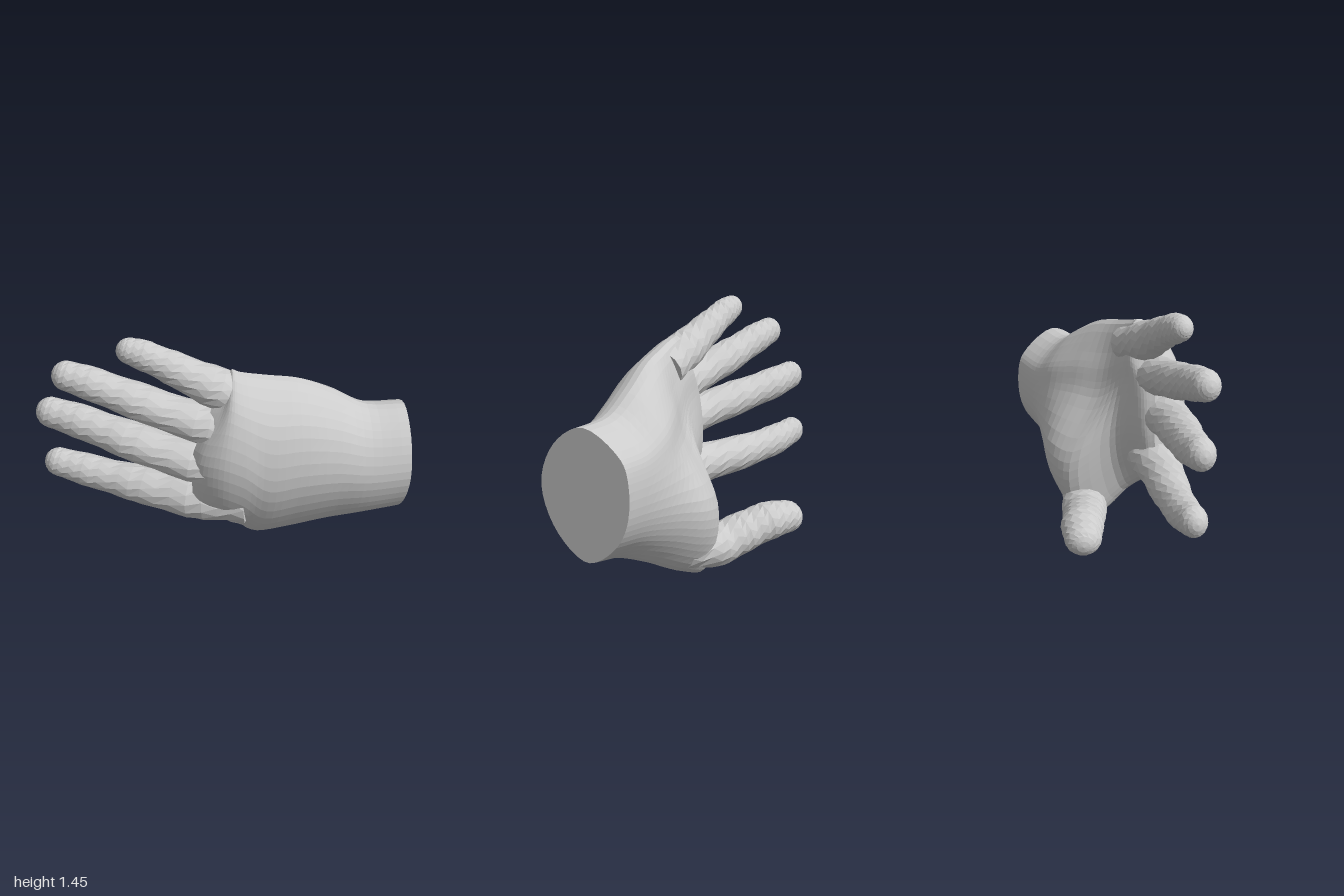
import * as THREE from 'three';

const V = (x, y, z) => new THREE.Vector3(x, y, z);
const lerp = THREE.MathUtils.lerp;

// Skin a list of equal-length rings, closing both ends with a fan
function skin(rings) {
  const n = rings[0].length, pos = [], index = [];
  rings.forEach(r => r.forEach(p => pos.push(p.x, p.y, p.z)));
  for (let i = 0; i < rings.length - 1; i++) {
    for (let j = 0; j < n; j++) {
      const a = i * n + j, b = i * n + (j + 1) % n;
      index.push(a, b, a + n, b, b + n, a + n);
    }
  }
  [0, rings.length - 1].forEach((i, end) => {
    const c = rings[i].reduce((s, p) => s.add(p), V(0, 0, 0)).divideScalar(n);
    const id = pos.length / 3;
    pos.push(c.x, c.y, c.z);
    for (let j = 0; j < n; j++) {
      const a = i * n + j, b = i * n + (j + 1) % n;
      if (end) index.push(id, a, b);
      else index.push(id, b, a);
    }
  });
  const g = new THREE.BufferGeometry();
  g.setAttribute('position', new THREE.Float32BufferAttribute(pos, 3));
  g.setIndex(index);
  g.computeVertexNormals();
  return g;
}

// Rounded digit through its joints [x, y, z, radius], slightly swollen at each joint;
// its depth is a ratio of the radius running from root to tip
function digit(joints, rootDepth, tipDepth, sides = 14, steps = 22) {
  const path = new THREE.CatmullRomCurve3(joints.map(s => V(s[0], s[1], s[2])));
  const size = new THREE.CatmullRomCurve3(joints.map((s, i) => V(s[3], i, 0)), false, 'catmullrom');
  const tip = path.getPoint(1), rings = [];
  for (let i = 0; i <= steps; i++) {
    const t = 1 - Math.pow(1 - i / steps, 1.6);
    const c = path.getPoint(t), T = path.getTangent(t);
    const r = size.getPoint(t).x * (1 + 0.03 * Math.cos(t * Math.PI * 8));
    const N = V(0, 0, 1).addScaledVector(T, -T.z).normalize();
    const B = N.clone().cross(T);
    const d = Math.min(1, c.distanceTo(tip) / r);
    const w = r * Math.max(0.03, Math.sqrt(1 - (1 - d) ** 2));
    const h = w * lerp(rootDepth, tipDepth, t);
    rings.push(Array.from({ length: sides }, (_, j) => {
      const a = (j + (i % 2) * 0.5) / sides * Math.PI * 2;
      return c.clone().addScaledVector(B, Math.cos(a) * w).addScaledVector(N, Math.sin(a) * h);
    }));
  }
  return skin(rings);
}

// Palm sections from knuckles to wrist: x, slant of the little-finger side, upper edge y z,
// lower edge y z, then bulges of the back, the thumb pad and the little-finger pad
const SECTIONS = [
  [-0.18, 0.45, 1.2, 0.19, 0.42, 0.2, 0.11, 0.05, 0.03],
  [-0.14, 0.45, 1.25, 0.18, 0.37, 0.19, 0.19, 0.08, 0.07],
  [-0.04, 0.2, 1.29, 0.17, 0.34, 0.19, 0.26, 0.11, 0.09],
  [0.08, 0, 1.28, 0.18, 0.24, 0.13, 0.3, 0.12, 0.08],
  [0.22, 0, 1.245, 0.17, 0.01, -0.07, 0.375, 0.185, 0.06],
  [0.4, 0, 1.2, 0.15, 0.06, -0.03, 0.345, 0.25, 0.14],
  [0.6, 0, 1.1, 0.13, 0.17, 0.06, 0.3, 0.245, 0.215],
  [0.78, 0, 1.0, 0.14, 0.25, 0.13, 0.265, 0.235, 0.24],
  [1.0, 0, 0.99, 0.15, 0.3, 0.15, 0.26, 0.24, 0.25],
];

// Place one section's outline: points between the two edges, pushed out by the bulges
function sectionOutline([x, slant, yTop, zTop, yLow, zLow, back, thumbPad, littlePad]) {
  const at = (f, push) => {
    const y = lerp(yTop, yLow, f);
    return V(x + slant * Math.max(0, y - 0.87), y, lerp(zTop, zLow, f) + push);
  };
  return [
    at(0, 0), at(0.14, 0.66 * back), at(0.45, back), at(0.8, 0.69 * back), at(1, 0),
    at(0.86, -0.68 * thumbPad), at(0.65, -thumbPad), at(0.35, -littlePad), at(0.19, -0.84 * littlePad),
  ];
}

function palm(around = 44, along = 34) {
  const outlines = SECTIONS.map(sectionOutline);
  const lines = outlines[0].map((_, k) => new THREE.CatmullRomCurve3(outlines.map(o => o[k])));
  const rings = [];
  for (let i = 0; i <= along; i++) {
    const loop = new THREE.CatmullRomCurve3(lines.map(l => l.getPoint(i / along)), true);
    rings.push(Array.from({ length: around }, (_, j) => loop.getPoint(j / around)));
  }
  return skin(rings);
}

export function createModel() {
  const hand = new THREE.Group();
  hand.name = 'hand';
  const material = new THREE.MeshStandardMaterial({ color: 0xcccccc, flatShading: true });
  const add = (name, geometry) => {
    const mesh = new THREE.Mesh(geometry, material);
    mesh.name = name;
    hand.add(mesh);
  };

  // Palm and wrist in one piece
  add('palmAndWrist', palm());

  // Four fingers growing out of the knuckles
  add('indexFinger', digit([[0.12, 0.5, 0.25, 0.13], [-0.15, 0.485, 0.19, 0.122],
    [-0.48, 0.495, 0.045, 0.106], [-0.76, 0.525, -0.075, 0.095], [-0.99, 0.575, -0.15, 0.085]], 1.2, 0.85));
  add('middleFinger', digit([[0.12, 0.74, 0.29, 0.12], [-0.14, 0.765, 0.245, 0.11],
    [-0.5, 0.83, 0.09, 0.104], [-0.77, 0.885, -0.045, 0.096], [-1, 0.935, -0.13, 0.088]], 1.3, 0.85));
  add('ringFinger', digit([[0.12, 0.96, 0.26, 0.12], [-0.12, 1.0, 0.215, 0.106],
    [-0.45, 1.095, 0.11, 0.098], [-0.69, 1.175, 0.035, 0.09], [-0.885, 1.23, -0.02, 0.082]], 1.25, 0.9));
  add('littleFinger', digit([[0.15, 1.12, 0.2, 0.11], [-0.06, 1.2, 0.175, 0.108],
    [-0.26, 1.3, 0.135, 0.089], [-0.41, 1.37, 0.105, 0.079], [-0.54, 1.41, 0.08, 0.066]], 1.1, 0.9));

  // Thumb reaching forward from its pad
  add('thumb', digit([[0.36, 0.17, -0.02, 0.105], [0.15, 0.14, -0.12, 0.117],
    [0, 0.18, -0.21, 0.11], [-0.15, 0.22, -0.31, 0.107], [-0.35, 0.215, -0.42, 0.09]], 1.15, 1.1));
  return hand;
}
